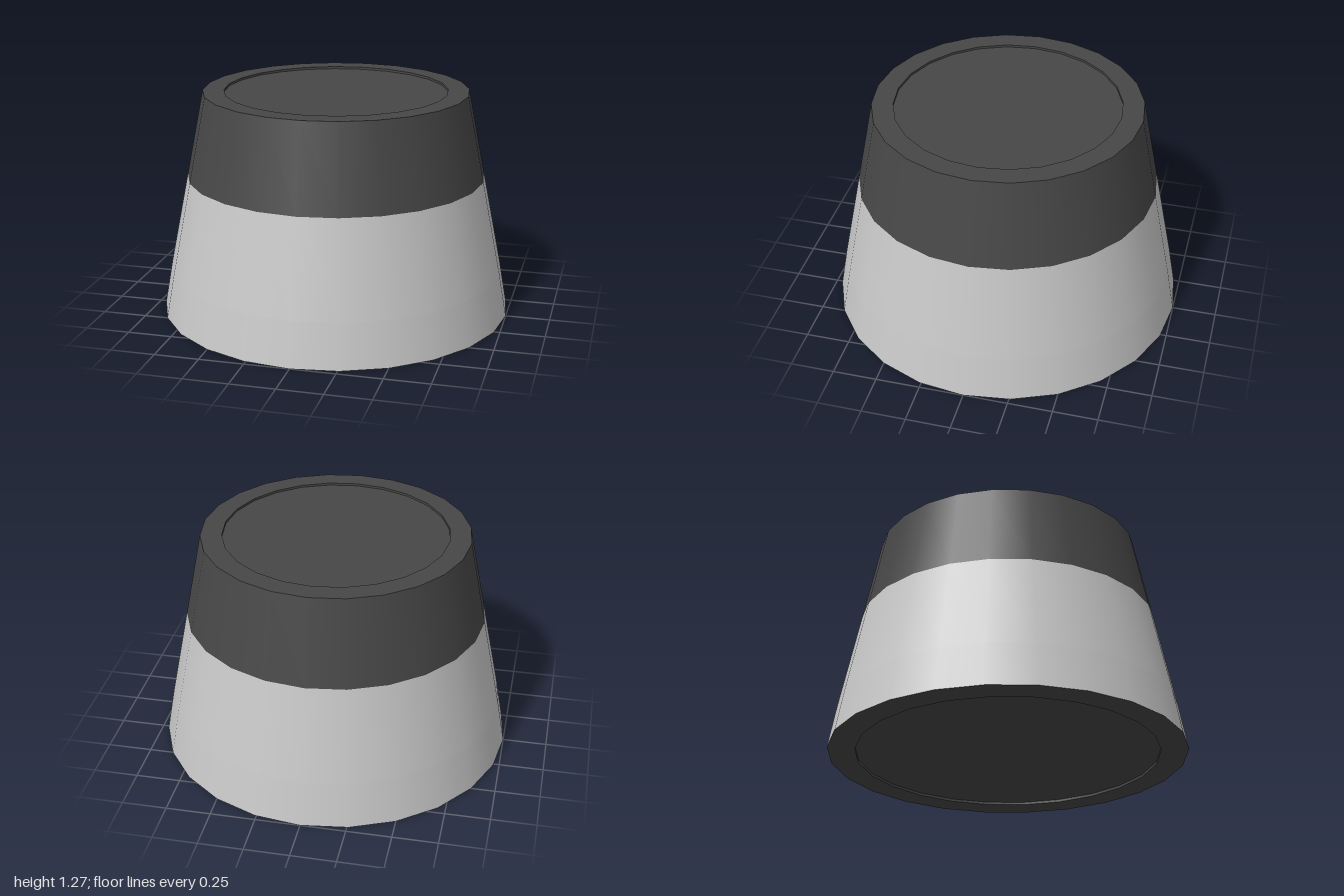
import * as THREE from 'three';

const SIDES = 24;

export function createModel() {
  const model = new THREE.Group();
  model.name = 'taperedCap';

  const lightGrey = new THREE.MeshStandardMaterial({ color: 0xc8c8c8 });
  lightGrey.name = 'light grey';
  const darkGrey = new THREE.MeshStandardMaterial({ color: 0x474747 });
  darkGrey.name = 'dark grey';

  // Each part is a revolved strip; separate strips keep the rims sharp
  const revolve = (name, material, points) => {
    const profile = points.map(([r, y]) => new THREE.Vector2(r, y));
    const mesh = new THREE.Mesh(new THREE.LatheGeometry(profile, SIDES), material);
    mesh.name = name;
    model.add(mesh);
  };

  // Tapered wall: steeper foot, then one straight cone in two colours
  revolve('foot', lightGrey, [[1, 0], [0.955, 0.25]]);
  revolve('lowerBand', lightGrey, [[0.955, 0.25], [0.847, 0.785]]);
  revolve('upperBand', darkGrey, [[0.847, 0.785], [0.75, 1.27]]);

  // Top: flat rim around a shallow recessed disc
  revolve('topRim', darkGrey, [[0.75, 1.27], [0.63, 1.27]]);
  revolve('topRecessWall', darkGrey, [[0.63, 1.27], [0.63, 1.257]]);
  revolve('topDisc', darkGrey, [[0.63, 1.257], [0, 1.257]]);

  // Underside: flat ring around a shallow recessed disc
  revolve('bottomDisc', darkGrey, [[0, 0.015], [0.847, 0.015]]);
  revolve('bottomRecessWall', darkGrey, [[0.847, 0.015], [0.847, 0]]);
  revolve('bottomRing', darkGrey, [[0.847, 0], [1, 0]]);

  return model;
}
